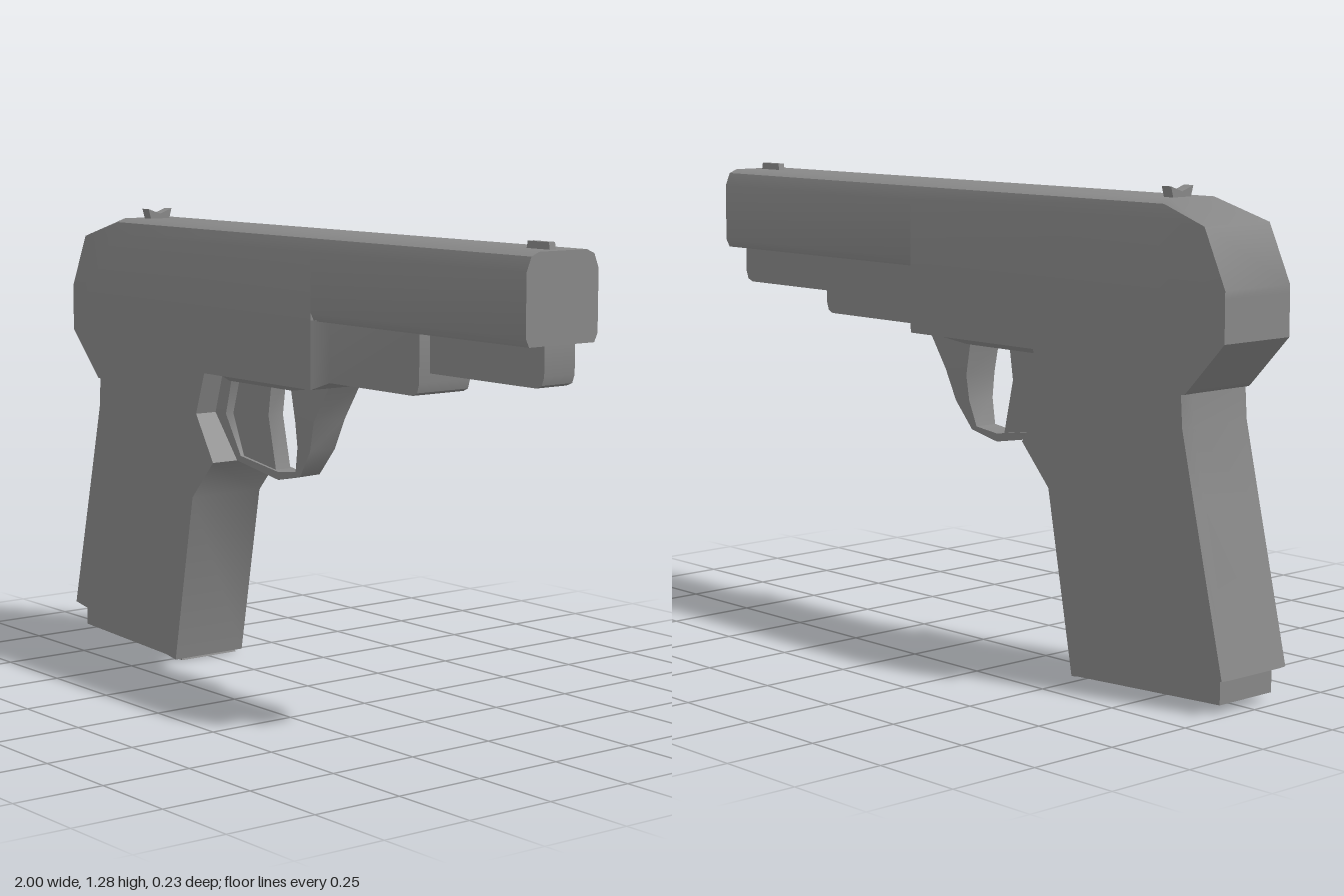
import * as THREE from 'three';
import { toCreasedNormals } from 'three/addons/utils/BufferGeometryUtils.js';

const HALF = 0.1175;
const CREASE = 0.75;

// Skin a list of matching convex rings, capped at both ends
function loft(rings) {
  const n = rings[0].length, pos = [];
  const tri = (a, b, c) => pos.push(...a, ...b, ...c);
  for (let i = 0; i < rings.length - 1; i++) {
    for (let j = 0; j < n; j++) {
      const k = (j + 1) % n, r = rings[i], s = rings[i + 1];
      tri(r[j], r[k], s[j]);
      tri(r[k], s[k], s[j]);
    }
  }
  const first = rings[0], last = rings[rings.length - 1];
  for (let j = 1; j < n - 1; j++) {
    tri(first[0], first[j + 1], first[j]);
    tri(last[0], last[j], last[j + 1]);
  }
  const g = new THREE.BufferGeometry();
  g.setAttribute('position', new THREE.Float32BufferAttribute(pos, 3));
  return toCreasedNormals(g, CREASE);
}

// Side profile extruded evenly about z = 0
function plate(points, half, hole) {
  const vec = (list) => list.map(([x, y]) => new THREE.Vector2(x, y));
  const shape = new THREE.Shape(vec(points));
  if (hole) shape.holes.push(new THREE.Path(vec(hole)));
  const g = new THREE.ExtrudeGeometry(shape, { depth: half * 2, bevelEnabled: false });
  return toCreasedNormals(g.translate(0, 0, -half), CREASE);
}

export function createModel() {
  const model = new THREE.Group();
  const material = new THREE.MeshStandardMaterial({ color: 0x888888 });
  const add = (name, geometry) => {
    const mesh = new THREE.Mesh(geometry, material);
    mesh.name = name;
    model.add(mesh);
  };

  // Slide: x, top, shoulder height, roundness of the top, bottom chamfer
  const slideRing = ([x, top, shoulder, round, cut]) => {
    const half = [
      [HALF - cut * 0.5, 1.03], [HALF, 1.03 + cut], [HALF, shoulder],
      [HALF - 0.015 * round, shoulder + (top - shoulder) * 0.78], [HALF - 0.04 * round, top],
    ];
    return [
      ...half.map(([z, y]) => [x, y, -z]),
      ...half.slice().reverse().map(([z, y]) => [x, y, z]),
    ];
  };
  add('slide', loft([
    [-0.99, 1.05, 1.049, 0, 0],
    [-0.92, 1.2, 1.199, 0, 0],
    [-0.77, 1.257, 1.21, 1, 0],
    [0.165, 1.257, 1.21, 1, 0],
    [0.165, 1.257, 1.21, 1, 0.022],
    [1, 1.257, 1.21, 1, 0.022],
  ].map(slideRing)));

  // Frame with the rear tang
  add('frame', plate([
    [-0.99, 1.03], [-0.99, 0.92], [-0.875, 0.8], [-0.86, 0.785], [-0.36, 0.73],
    [-0.32, 0.848], [0.165, 0.848], [0.165, 1.03],
  ], HALF));

  // Bevelled strip under the frame, above the trigger: back x, front x, height, half width
  add('frameUnderside', loft([
    [-0.285, 0.005, 0.826, 0.056],
    [-0.32, 0.16, 0.85, 0.08],
  ].map(([a, b, y, w]) => [[b, y, w], [b, y, -w], [a, y, -w], [a, y, w]])));

  // Front frame block, tapering out of the frame: x, bottom, half width
  const blockRing = ([x, y, w]) => [[x, y, w], [x, y, -w], [x, 1.032, -w], [x, 1.032, w]];
  add('frontFrame', loft([
    [0.165, 0.848, HALF], [0.205, 0.868, 0.085], [0.545, 0.868, 0.085],
    [0.562, 0.876, 0.085], [0.57, 0.9, 0.085],
  ].map(blockRing)));
  add('underBarrel', loft([
    [0.56, 0.925, 0.05], [0.965, 0.925, 0.05], [0.985, 0.933, 0.05], [0.993, 0.955, 0.05],
  ].map(blockRing)));

  // Grip with a bevelled back: back x, back y, front x, front y, bevel
  add('grip', loft([
    [-1, 0.09, -0.47, 0.005, 0.004],
    [-0.912, 0.5, -0.38, 0.49, 0.012],
    [-0.868, 0.7, -0.28, 0.6, 0.014],
    [-0.86, 0.79, -0.36, 0.73, 0.012],
  ].map(([bx, by, fx, fy, bevel]) => [
    [fx, fy, HALF], [fx, fy, -HALF], [bx + bevel, by, -HALF],
    [bx, by, -0.09], [bx, by, 0.09], [bx + bevel, by, HALF],
  ])));
  add('magazineBase', plate([[-0.97, 0.11], [-0.97, 0.022], [-0.47, 0], [-0.48, 0.03]], 0.095));

  // Trigger guard, narrowing toward the bottom
  const guard = plate([
    [0.165, 0.855], [-0.32, 0.855], [-0.36, 0.73], [-0.28, 0.6], [-0.09, 0.568],
    [0.01, 0.59], [0.065, 0.665], [0.095, 0.75],
  ], 1, [
    [-0.28, 0.826], [-0.005, 0.826], [0.012, 0.74], [0.01, 0.67], [-0.01, 0.6],
    [-0.09, 0.59], [-0.26, 0.615], [-0.31, 0.73],
  ]);
  const p = guard.attributes.position;
  for (let i = 0; i < p.count; i++) {
    const t = THREE.MathUtils.clamp((p.getY(i) - 0.59) / 0.16, 0, 1);
    p.setZ(i, p.getZ(i) * (0.033 + 0.02 * t));
  }
  add('triggerGuard', toCreasedNormals(guard, CREASE));
  add('trigger', plate([
    [-0.29, 0.84], [-0.32, 0.73], [-0.265, 0.61], [-0.11, 0.588], [-0.145, 0.74], [-0.13, 0.84],
  ], 0.025));

  // Sights: a thin blade in front and a notched bar behind
  add('frontSight', plate([[0.88, 1.25], [0.965, 1.25], [0.96, 1.275], [0.885, 1.275]], 0.01));
  const notch = plate([
    [-0.03, 1.25], [0.03, 1.25], [0.04, 1.285], [0, 1.271], [-0.04, 1.285],
  ], 0.016);
  add('rearSight', notch.rotateY(Math.PI / 2).translate(-0.718, 0, 0));

  return model;
}
